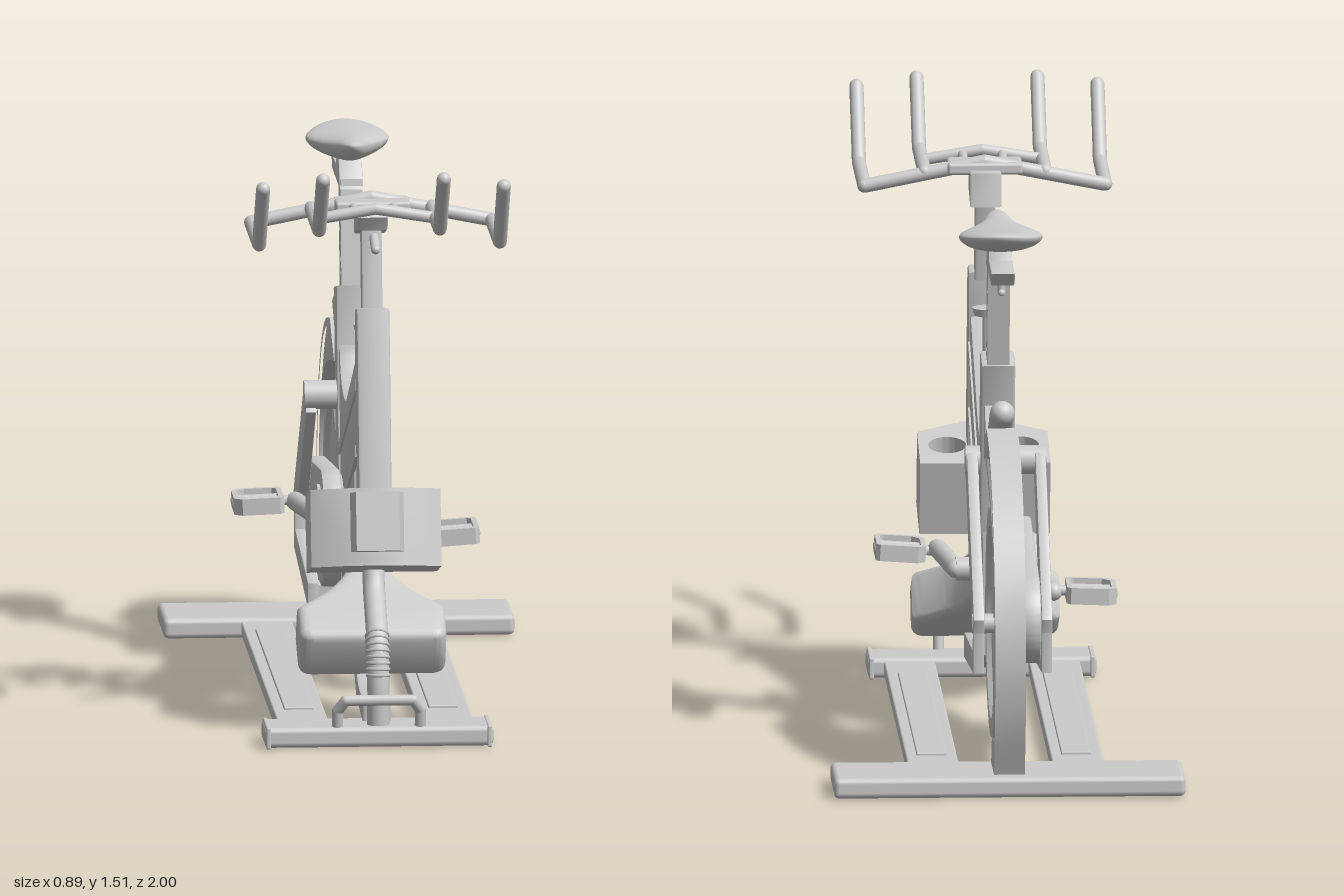
import * as THREE from 'three';
import { RoundedBoxGeometry } from 'three/addons/geometries/RoundedBoxGeometry.js';
import { toCreasedNormals } from 'three/addons/utils/BufferGeometryUtils.js';

const V = (x, y, z) => new THREE.Vector3(x, y, z);

export function createModel() {
  const model = new THREE.Group();
  const mat = new THREE.MeshStandardMaterial({ color: 0xcccccc });

  const add = (name, geo, parent = model) => {
    const mesh = new THREE.Mesh(geo, mat);
    mesh.name = name;
    parent.add(mesh);
    return mesh;
  };
  const shapeOf = (pts) => new THREE.Shape(pts.map(([a, b]) => new THREE.Vector2(a, b)));
  // Plate drawn as a (z, y) outline and given thickness from x0 to x1
  const plate = (name, outline, x0, x1, bevel = 0) => {
    const shape = Array.isArray(outline) ? shapeOf(outline) : outline;
    const geo = new THREE.ExtrudeGeometry(shape, {
      depth: x1 - x0 - 2 * bevel, bevelEnabled: bevel > 0, bevelSize: bevel, bevelThickness: bevel,
      bevelOffset: -bevel, bevelSegments: 2, curveSegments: 24,
    });
    geo.rotateY(-Math.PI / 2).translate(x1 - bevel, 0, 0);
    return add(name, toCreasedNormals(geo, 0.6));
  };
  // Round-ended bar between two points
  const rod = (name, a, b, r, parent) => {
    const d = b.clone().sub(a);
    const bar = add(name, new THREE.CapsuleGeometry(r, d.length(), 5, 14), parent);
    bar.position.copy(a).add(b).multiplyScalar(0.5);
    bar.quaternion.setFromUnitVectors(V(0, 1, 0), d.normalize());
    return bar;
  };
  const box = (name, w, h, d, x, y, z, r = 0.008) =>
    add(name, new RoundedBoxGeometry(w, h, d, 2, r)).position.set(x, y, z);
  // Cylinder lying along x
  const disc = (name, r, x0, x1, y, z, sides = 40) =>
    add(name, new THREE.CylinderGeometry(r, r, x1 - x0, sides).rotateZ(Math.PI / 2)
      .translate((x0 + x1) / 2, y, z));

  // Floor frame
  box('rearFoot', 0.89, 0.052, 0.24, 0, 0.032, -0.835, 0.014);
  box('frontFoot', 0.58, 0.052, 0.145, 0, 0.032, 0.75, 0.014);
  for (const s of [-1, 1]) {
    box('floorRail', 0.13, 0.036, 1.42, s * 0.183, 0.03, -0.02, 0.005);
    box('railStrip', 0.075, 0.01, 1.1, s * 0.183, 0.05, -0.04, 0.003);
    box('footCap', 0.012, 0.056, 0.15, s * 0.28, 0.032, 0.75, 0.004);
  }

  // Main beam flowing into the seat tube
  const beam = new THREE.Shape();
  beam.moveTo(0.53, 0.97);
  beam.lineTo(0.12, 0.775);
  beam.bezierCurveTo(0.03, 0.74, -0.13, 0.75, -0.16, 0.86);
  beam.lineTo(-0.2, 0.7);
  beam.lineTo(-0.15, 0.44);
  beam.lineTo(0.59, 0.75);
  plate('mainBeam', beam, -0.037, 0.037, 0.005);
  // Long trim strips on both faces of the beam
  for (const s of [-1, 1]) for (const drop of [0.03, 0.2]) {
    const x = s * 0.037;
    plate('beamTrim', [[0.53, 0.93 - drop], [-0.12, 0.645 - drop], [-0.12, 0.615 - drop], [0.53, 0.9 - drop]],
      x - 0.005, x + 0.005);
  }
  plate('headTube', [[0.575, 1.09], [0.515, 1.08], [0.515, 1], [0.585, 0.6], [0.67, 0.6], [0.6, 1]], -0.042, 0.042, 0.008);
  plate('seatTube', [[-0.18, 1.01], [-0.28, 0.99], [-0.25, 0.86], [-0.19, 0.53], [-0.1, 0.53], [-0.17, 0.88]], -0.043, 0.043, 0.006);
  plate('lowerColumn', [[-0.09, 0.58], [-0.06, 0.26], [-0.22, 0.26], [-0.19, 0.58]], -0.037, 0.037, 0.004);
  plate('hoopBracket', [[-0.24, 0.9], [-0.34, 0.8], [-0.3, 0.77], [-0.2, 0.73]], -0.035, 0.035, 0.004);

  // Front strut from the beam to the foot
  const strut = new THREE.Shape();
  strut.moveTo(0.37, 0.72);
  strut.bezierCurveTo(0.39, 0.5, 0.38, 0.3, 0.32, 0.22);
  strut.quadraticCurveTo(0.45, 0.13, 0.54, 0.115);
  for (const [z, y] of [[0.735, 0.1], [0.735, 0.05], [0.48, 0.07], [0.29, 0.2], [0.25, 0.3]]) strut.lineTo(z, y);
  strut.bezierCurveTo(0.33, 0.4, 0.35, 0.53, 0.28, 0.53);
  strut.quadraticCurveTo(0.22, 0.53, 0.18, 0.62);
  plate('frontStrut', strut, -0.036, 0.036, 0.006);

  // Rear hoop: web with a raised rim
  const outer = [[-0.92, 0.06], [-0.98, 0.22], [-1, 0.38], [-0.97, 0.53], [-0.89, 0.67], [-0.77, 0.78], [-0.64, 0.84], [-0.49, 0.87]];
  const inner = [[-0.32, 0.79], [-0.61, 0.735], [-0.72, 0.69], [-0.8, 0.62], [-0.85, 0.54], [-0.877, 0.42], [-0.855, 0.25], [-0.75, 0.06]];
  const curve = (pts) => new THREE.CatmullRomCurve3(pts.map(([z, y]) => V(z, y, 0))).getPoints(28).map((p) => [p.x, p.y]);
  const a = curve(outer), b = curve(inner).reverse();
  const blend = (t) => a.map((p, i) => [p[0] + (b[i][0] - p[0]) * t, p[1] + (b[i][1] - p[1]) * t]);
  plate('hoopWeb', [...a, ...[...b].reverse()], -0.03, 0.03);
  const rim = shapeOf([...a, ...[...b].reverse()]);
  const windowPts = [...blend(0.2).slice(2, -2), ...blend(0.8).slice(2, -2).reverse()];
  rim.holes.push(new THREE.Path(windowPts.map(([z, y]) => new THREE.Vector2(z, y))));
  plate('hoopRim', rim, -0.039, 0.039);
  rod('liftHandle', V(0, 0.81, -0.33), V(0, 0.91, -0.5), 0.032);

  // Flywheel
  const wheelProfile = [[0, -0.02], [0.235, -0.02], [0.245, -0.033], [0.29, -0.033], [0.295, -0.028],
    [0.295, 0.028], [0.29, 0.033], [0.245, 0.033], [0.235, 0.02], [0, 0.02]];
  add('flywheel', toCreasedNormals(new THREE.LatheGeometry(wheelProfile.map(([r, h]) => new THREE.Vector2(r, h)), 64), 0.4)
    .rotateZ(Math.PI / 2).translate(0, 0.385, -0.555));
  disc('flywheelAxle', 0.025, -0.12, 0.08, 0.385, -0.58, 20);

  // Fork bars either side of the flywheel
  disc('forkCrossTube', 0.037, -0.125, 0.08, 0.73, -0.18, 28);
  for (const [x0, x1] of [[0.05, 0.078], [-0.122, -0.095]]) {
    plate('forkArm', [[-0.22, 0.755], [-0.6, 0.425], [-0.62, 0.4], [-0.61, 0.365], [-0.57, 0.36], [-0.48, 0.39], [-0.15, 0.69]], x0, x1, 0.003);
    plate('forkDropBar', [[-0.575, 0.4], [-0.605, 0.4], [-0.6, 0.26], [-0.57, 0.26]], x0, x1, 0.003);
    plate('forkLowerBar', [[-0.07, 0.265], [-0.6, 0.315], [-0.6, 0.26], [-0.07, 0.2]], x0, x1, 0.003);
  }
  box('forkBridge', 0.19, 0.05, 0.05, -0.02, 0.238, -0.11);

  // Drive cover and crank
  const cover = new THREE.Shape();
  cover.absarc(-0.065, 0.41, 0.15, -Math.PI / 2, Math.PI / 2);
  cover.absarc(-0.56, 0.39, 0.11, Math.PI / 2, Math.PI * 1.5);
  plate('driveCover', cover, -0.092, -0.042, 0.008);
  disc('coverDisc', 0.11, -0.1, -0.036, 0.41, -0.065);
  for (const r of [0.06, 0.085, 0.125])
    add('sprocketRing', new THREE.TorusGeometry(r, 0.01, 8, 36).rotateY(Math.PI / 2).translate(-0.038, 0.41, -0.065));
  disc('crankSpindle', 0.03, -0.125, 0.1, 0.435, -0.1, 20);
  const pedal = (s, y, z, tilt) => {
    const g = new THREE.Group();
    g.name = s > 0 ? 'leftPedal' : 'rightPedal';
    const frame = (w, d) => shapeOf([[-w, -d + 0.02], [-w + 0.02, -d], [w - 0.01, -d], [w, -d + 0.01],
      [w, d - 0.01], [w - 0.01, d], [-w + 0.02, d], [-w, d - 0.02]]);
    const cage = frame(0.063, 0.077);
    cage.holes.push(frame(0.05, 0.064));
    add('pedalCage', new THREE.ExtrudeGeometry(cage, { depth: 0.042, bevelEnabled: false })
      .translate(0, 0, -0.021).rotateX(Math.PI / 2), g);
    rod('pedalAxle', V(-s * 0.1, 0, 0), V(0.055 * s, 0, 0), 0.013, g);
    for (const d of [-0.036, 0.036]) rod('pedalBar', V(-0.055, 0, d), V(0.055, 0, d), 0.012, g);
    g.position.set(s * 0.23, y, z);
    g.rotation.z = tilt;
    model.add(g);
    rod('crankArm', V(s * 0.1, 0.435, -0.1), V(s * 0.135, y, z), 0.024);
  };
  pedal(1, 0.437, 0.17, 0.07);
  pedal(-1, 0.424, -0.36, 0.04);

  // Saddle and its post
  const post = shapeOf([[-0.25, 1.27], [-0.32, 1.255], [-0.265, 0.95], [-0.195, 0.95]]);
  for (let i = 0; i < 6; i++) {
    const hole = new THREE.Path();
    hole.absarc(-0.242 - i * 0.0085, 1.03 + i * 0.038, 0.009, 0, Math.PI * 2, true);
    post.holes.push(hole);
  }
  plate('seatPost', post, -0.028, 0.028);
  plate('seatSlider', [[-0.24, 1.245], [-0.31, 1.32], [-0.38, 1.32], [-0.395, 1.283], [-0.56, 1.28], [-0.53, 1.245]], -0.03, 0.03, 0.004);
  rod('seatClampLever', V(0, 1.25, -0.45), V(0, 1.215, -0.45), 0.01);
  rod('seatClampGrip', V(0, 1.213, -0.41), V(0, 1.213, -0.46), 0.009);
  const saddle = new THREE.SphereGeometry(1, 40, 24);
  const p = saddle.attributes.position;
  for (let i = 0; i < p.count; i++) {
    const x = p.getX(i), y = p.getY(i), t = p.getZ(i); // t = 1 at the tail
    const width = 0.045 + 0.068 * THREE.MathUtils.smoothstep(t, -0.6, 0.4);
    p.setXYZ(i, -x * width, 1.347 + y * (y > 0 ? 0.024 : 0.042) + 0.022 * t * t, -0.355 - 0.185 * t);
  }
  // x and z are both mirrored, so the winding stays outward
  saddle.computeVertexNormals();
  add('saddle', saddle);

  // Handlebar post, clamp and bars
  plate('handlebarPost', [[0.558, 1.06], [0.51, 1.06], [0.47, 1.3], [0.518, 1.31]], -0.026, 0.026, 0.005);
  plate('handlebarClamp', [[0.54, 1.285], [0.45, 1.26], [0.46, 1.345], [0.53, 1.35], [0.56, 1.32]], -0.04, 0.04, 0.005);
  box('handlebarMount', 0.19, 0.03, 0.1, 0, 1.35, 0.54);
  rod('handlebarLever', V(0, 1.28, 0.62), V(0, 1.26, 0.68), 0.012);
  for (const s of [-1, 1]) {
    rod('crossBar', V(0, 1.365, 0.52), V(s * 0.303, 1.305, 0.52), 0.018);
    for (const [x, y, tip] of [[0.305, 1.305, 1.475], [0.153, 1.34, 1.495]]) {
      rod('armBar', V(s * x, y, 0.52), V(s * x, y, 0.83), 0.018);
      rod('armGrip', V(s * x, y, 0.83), V(s * x, tip, 0.98), 0.018);
    }
    rod('linkBar', V(0, 1.365, 0.68), V(s * 0.153, 1.34, 0.68), 0.015);
    rod('mountBar', V(s * 0.05, 1.35, 0.53), V(s * 0.05, 1.355, 0.68), 0.012);
  }

  // Resistance knob on the beam
  add('knobStem', new THREE.CylinderGeometry(0.012, 0.012, 0.16, 16).translate(0, 0.93, 0.385));
  add('knobCap', new THREE.CylinderGeometry(0.038, 0.032, 0.02, 24).translate(0, 1.005, 0.385));

  // Flat plan outline (x, forward) with thickness downward
  const slab = (name, shape, depth, parent, bevel = 0) => add(name, toCreasedNormals(
    new THREE.ExtrudeGeometry(shape, { depth, bevelEnabled: bevel > 0, bevelSize: bevel, bevelThickness: bevel,
      bevelOffset: -bevel, bevelSegments: 5, curveSegments: 24 }).rotateX(Math.PI / 2), 0.6), parent);

  // Bottle holder box with two wells
  const holder = new THREE.Group();
  holder.name = 'bottleHolder';
  holder.position.set(0, 0.595, 0.485);
  holder.rotation.x = -0.25;
  model.add(holder);
  const plan = [[-0.165, 0], [0.165, 0], [0.165, 0.19], [0.07, 0.24], [-0.07, 0.24], [-0.165, 0.19]];
  const tray = shapeOf(plan);
  for (const s of [-1, 1]) {
    const well = new THREE.Path();
    well.absarc(s * 0.092, 0.11, 0.048, 0, Math.PI * 2, true);
    tray.holes.push(well);
  }
  slab('holderBody', tray, 0.19, holder);
  slab('holderFloor', shapeOf(plan), 0.012, holder).position.y = -0.185;
  slab('holderNose', shapeOf([[-0.075, 0.22], [0.075, 0.22], [0.055, 0.275], [-0.055, 0.275]]), 0.15, holder).position.y = -0.012;

  // Padded bell-shaped cushion
  const bell = new THREE.Shape();
  bell.moveTo(-0.035, 0);
  bell.lineTo(0.035, 0);
  bell.bezierCurveTo(0.05, 0.15, 0.12, 0.18, 0.187, 0.24);
  bell.lineTo(0.187, 0.33);
  bell.quadraticCurveTo(0.187, 0.365, 0.15, 0.365);
  bell.lineTo(-0.15, 0.365);
  bell.quadraticCurveTo(-0.187, 0.365, -0.187, 0.33);
  bell.lineTo(-0.187, 0.24);
  bell.bezierCurveTo(-0.12, 0.18, -0.05, 0.15, -0.035, 0);
  const cushion = slab('cushion', bell, 0.09, model, 0.025);
  cushion.rotation.x = 0.52;
  cushion.position.set(0, 0.415, 0.282);

  // Curved front stem and its ribbed sleeve
  const stem = new THREE.CatmullRomCurve3([V(0, 0.46, 0.58), V(0, 0.38, 0.615), V(0, 0.325, 0.68), V(0, 0.26, 0.755),
    V(0, 0.17, 0.78), V(0, 0.04, 0.78)]);
  add('frontStem', new THREE.TubeGeometry(stem, 40, 0.028, 16));
  for (let i = 0; i < 8; i++) {
    const t = 0.5 + i * 0.03;
    const ring = add('stemRib', new THREE.TorusGeometry(0.027, 0.005, 6, 18));
    ring.position.copy(stem.getPointAt(t));
    ring.lookAt(stem.getPointAt(t).add(stem.getTangentAt(t)));
  }

  // Carry handle on the front foot
  const handle = [V(-0.105, 0.05, 0.8), V(-0.105, 0.1, 0.81), V(-0.085, 0.128, 0.825),
    V(0.085, 0.128, 0.825), V(0.105, 0.1, 0.81), V(0.105, 0.05, 0.8)];
  for (let i = 0; i < 5; i++) rod('carryHandle', handle[i], handle[i + 1], 0.014);

  return model;
}
